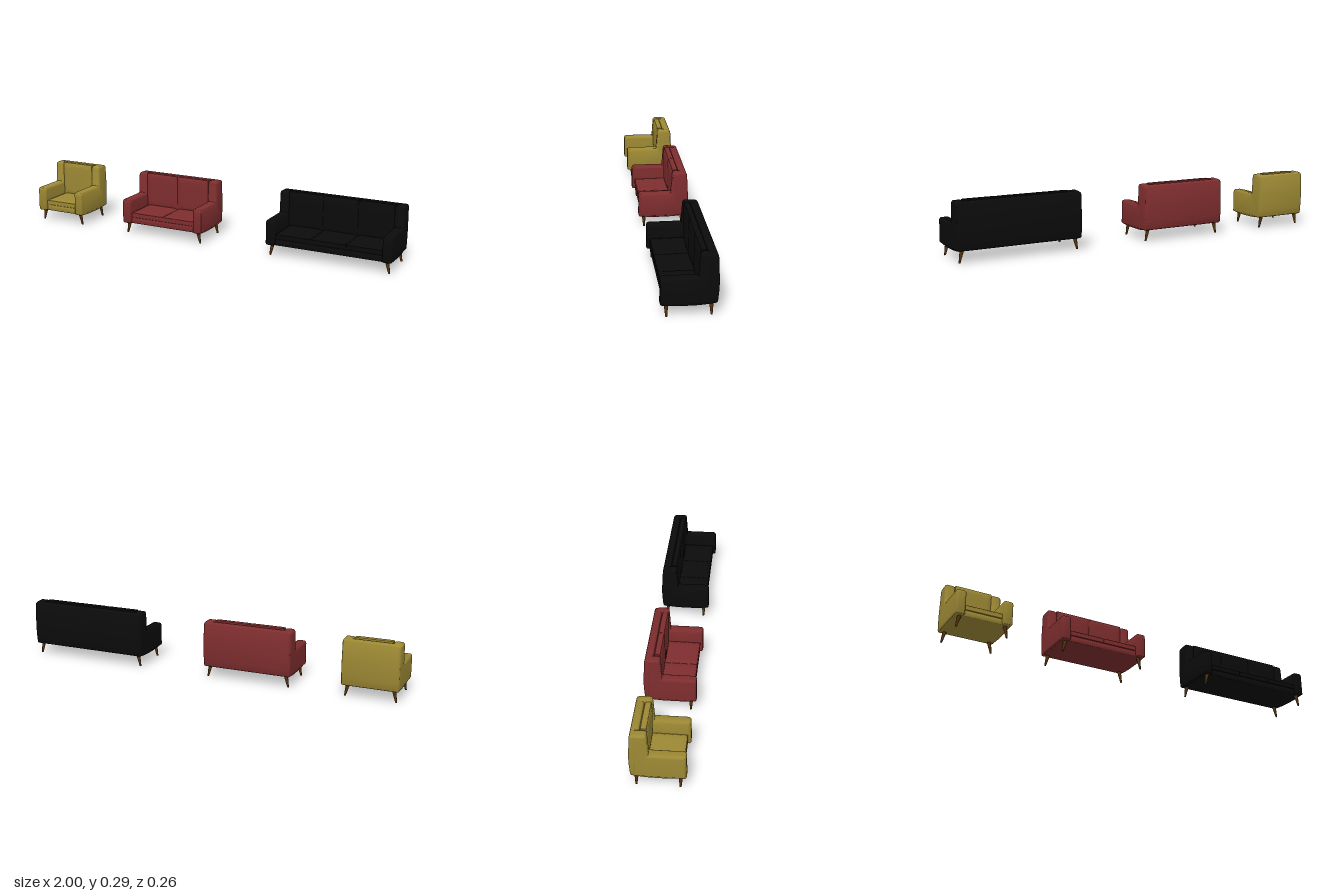
import * as THREE from 'three';
import { mergeVertices, toCreasedNormals } from 'three/addons/utils/BufferGeometryUtils.js';

const material = (name, color) => {
  const m = new THREE.MeshStandardMaterial({ color });
  m.name = name;
  return m;
};

// Polygon with rounded corners; points are [x, y, radius], counter-clockwise
function roundedShape(points) {
  const shape = new THREE.Shape();
  const n = points.length;
  points.forEach(([x, y, r], i) => {
    const p = new THREE.Vector2(x, y);
    const toward = (q) => new THREE.Vector2(q[0], q[1]).sub(p).setLength(r).add(p);
    const a = toward(points[(i + n - 1) % n]);
    const b = toward(points[(i + 1) % n]);
    if (i === 0) shape.moveTo(a.x, a.y);
    else shape.lineTo(a.x, a.y);
    shape.quadraticCurveTo(x, y, b.x, b.y);
  });
  shape.closePath();
  return shape;
}

// Side profile of [z, y, radius], extruded from x0 to x1 with soft edges
function profileBlock(points, x0, x1, bevel) {
  const shape = roundedShape(points.map(([z, y, r]) => [-z, y, r]));
  const geo = new THREE.ExtrudeGeometry(shape, {
    depth: x1 - x0 - 2 * bevel, curveSegments: 6,
    bevelThickness: bevel, bevelSize: bevel, bevelOffset: -bevel, bevelSegments: 5,
  });
  geo.translate(0, 0, x0 + bevel);
  geo.rotateY(Math.PI / 2);
  return toCreasedNormals(geo, 0.7);
}

// Flat pad that swells towards its middle and thins at the rim
function padGeometry(w, h, d) {
  const geo = new THREE.BoxGeometry(w, h, d, 18, 4, 18);
  geo.deleteAttribute('normal');
  geo.deleteAttribute('uv');
  const merged = mergeVertices(geo, 1e-5);
  const p = merged.attributes.position;
  for (let i = 0; i < p.count; i++) {
    const u = Math.abs(p.getX(i) * 2 / w), v = Math.abs(p.getZ(i) * 2 / d);
    const swell = Math.sqrt(Math.max(0, (1 - u ** 6) * (1 - v ** 6)));
    p.setY(i, p.getY(i) * (0.62 + 0.38 * swell));
  }
  merged.computeVertexNormals();
  return toCreasedNormals(merged, 0.8);
}

// Thin cord following the rim of a pad
function pipingGeometry(w, d) {
  const x = w / 2 - 0.001, z = d / 2 - 0.001, r = 0.007;
  const outline = roundedShape([[-x, -z, r], [x, -z, r], [x, z, r], [-x, z, r]]);
  const pts = outline.getSpacedPoints(60).slice(0, -1).map((p) => new THREE.Vector3(p.x, 0, p.y));
  return new THREE.TubeGeometry(new THREE.CatmullRomCurve3(pts, true), 64, 0.0018, 6, true);
}

function createSeat(name, x0, x1, seats, fabric, wood) {
  const group = new THREE.Group();
  group.name = name;
  const add = (part, geo, mat = fabric, parent = group) => {
    const mesh = new THREE.Mesh(geo, mat);
    mesh.name = part;
    parent.add(mesh);
    return mesh;
  };
  const armWidth = 0.05;

  // Arms, each with a tall wing at the rear
  const side = [
    [0.128, 0.056, 0.01], [-0.11, 0.056, 0.01], [-0.112, 0.287, 0.012],
    [-0.048, 0.29, 0.016], [-0.040, 0.182, 0.004], [0.126, 0.183, 0.016],
  ].reverse().map(([z, y, r]) => [z, y, r]);
  add('rightArm', profileBlock(side, x0, x0 + armWidth, 0.012));
  add('leftArm', profileBlock(side, x1 - armWidth, x1, 0.012));

  // Back panel
  const back = [
    [-0.082, 0.056, 0.008], [-0.082, 0.287, 0.012], [-0.122, 0.286, 0.016],
    [-0.129, 0.14, 0.04], [-0.121, 0.057, 0.01],
  ];
  add('backPanel', profileBlock(back, x0 + 0.0008, x1 - 0.0008, 0.012));

  // Base with a slightly sagging underside
  const base = [
    [0.113, 0.056, 0.004], [0.112, 0.087, 0.004], [-0.115, 0.087, 0.004],
    [-0.118, 0.058, 0.004], [-0.05, 0.05, 0.03], [0.06, 0.05, 0.03],
  ];
  add('base', profileBlock(base, x0 + 0.006, x1 - 0.006, 0.004));

  // Seat and back cushions
  const pitch = (x1 - x0 - 2 * armWidth) / seats;
  for (let i = 0; i < seats; i++) {
    const x = x0 + armWidth + pitch * (i + 0.5);
    const w = pitch - 0.001;

    const seat = new THREE.Group();
    seat.name = 'seatCushion';
    seat.position.set(x, 0.1, 0.016);
    add('seatPad', padGeometry(w, 0.036, 0.195), fabric, seat);
    for (const y of [-0.010, 0.011]) {
      add('seatPiping', pipingGeometry(w, 0.195), fabric, seat).position.y = y;
    }
    group.add(seat);

    const rest = new THREE.Group();
    rest.name = 'backCushion';
    rest.position.set(x, 0.2, -0.064);
    rest.rotation.x = Math.PI / 2;
    add('backPad', padGeometry(w, 0.042, 0.18), fabric, rest);
    add('backPiping', pipingGeometry(w, 0.18), fabric, rest).position.y = 0.012;
    group.add(rest);
  }

  // Tapered legs leaning outwards
  for (const s of [-1, 1]) {
    for (const z of [0.1, -0.096]) {
      const geo = new THREE.CylinderGeometry(0.0105, 0.0045, 0.06, 16);
      const p = geo.attributes.position;
      for (let i = 0; i < p.count; i++) p.setX(i, p.getX(i) - s * p.getY(i) * 0.22);
      const leg = add('leg', geo, wood);
      leg.position.set(s < 0 ? x0 + 0.024 : x1 - 0.024, 0.03, z);
    }
  }
  return group;
}

export function createModel() {
  const model = new THREE.Group();
  model.name = 'sofaSet';
  const wood = material('walnut', 0x54330f);
  model.add(
    createSeat('armchair', -1, -0.715, 1, material('mustardFabric', 0x9c8834), wood),
    createSeat('twoSeater', -0.46, 0.005, 2, material('redFabric', 0x7e2d2e), wood),
    createSeat('threeSeater', 0.36, 1, 3, material('blackFabric', 0x0b0b0b), wood),
  );
  return model;
}
